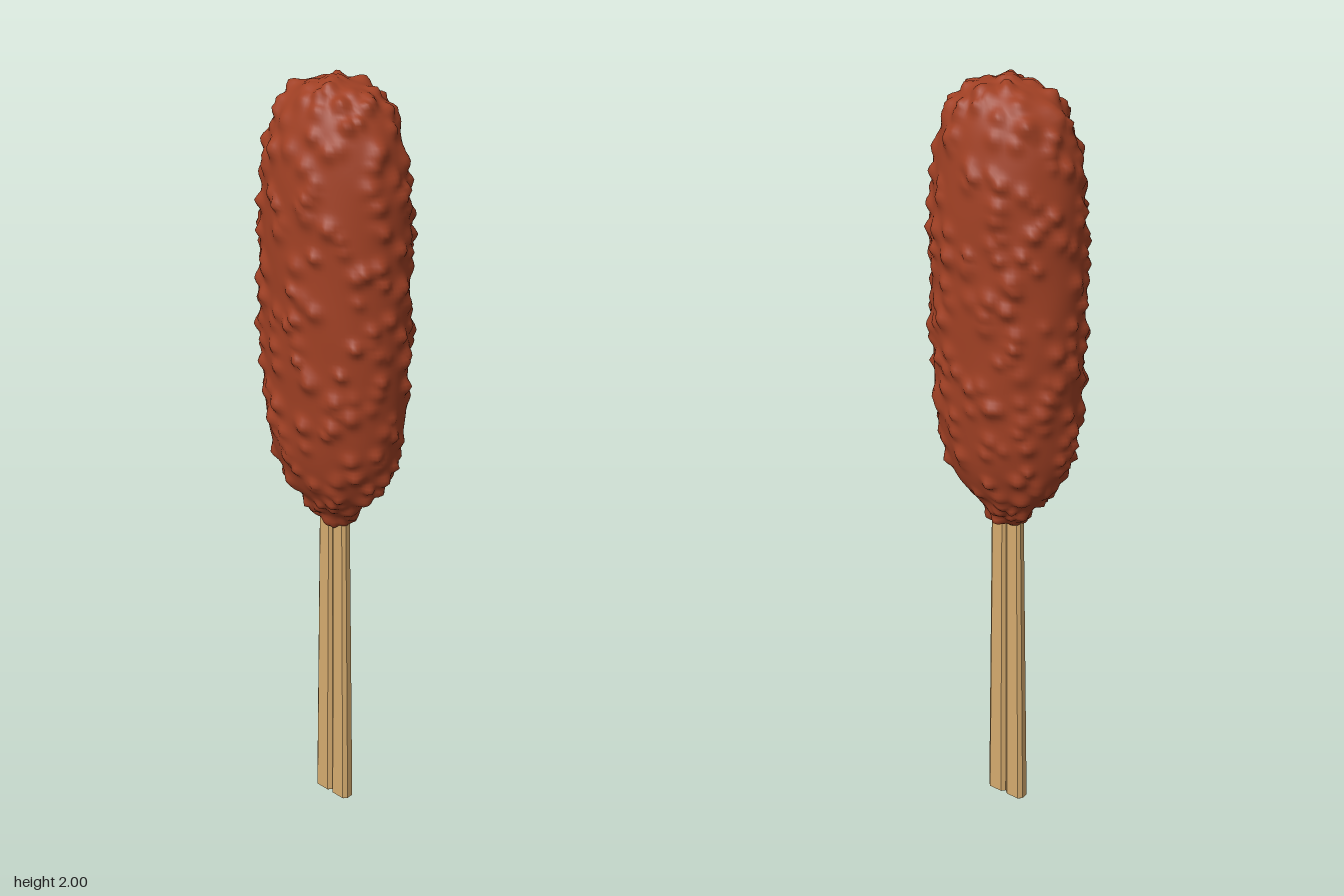
import * as THREE from 'three';
import { mergeVertices } from 'three/addons/utils/BufferGeometryUtils.js';

const crustMaterial = new THREE.MeshStandardMaterial({ color: 0xa04024 });
crustMaterial.name = 'fried crust brown';
const woodMaterial = new THREE.MeshStandardMaterial({ color: 0xd4aa6e });
woodMaterial.name = 'pale wood';

// Small seeded generator for the crumbs
function seeded(seed) {
  return () => (seed = (seed * 16807) % 2147483647) / 2147483647;
}

// Lumpy oval crust: a lathe flattened in z, then pushed out around scattered crumbs
function crustGeometry() {
  const profile = [
    [0, 0.872], [0.036, 0.875], [0.06, 0.905], [0.1, 0.95], [0.14, 1.0], [0.174, 1.09],
    [0.189, 1.2], [0.195, 1.35], [0.195, 1.5], [0.192, 1.64], [0.184, 1.76],
    [0.168, 1.85], [0.142, 1.92], [0.1, 1.966], [0.05, 1.985], [0, 1.988],
  ].map(([r, y]) => new THREE.Vector2(r, y));
  const points = new THREE.SplineCurve(profile).getSpacedPoints(130);
  points[0].x = points[130].x = 0;
  let geometry = new THREE.LatheGeometry(points, 112);
  geometry.scale(1, 1, 0.765);
  geometry.deleteAttribute('uv');
  geometry.deleteAttribute('normal');
  geometry = mergeVertices(geometry, 1e-5);
  geometry.computeVertexNormals();

  const position = geometry.attributes.position;
  const normal = geometry.attributes.normal;
  const random = seeded(4711);

  // Crumb centres, spread along the outline by a golden-angle spiral with jitter
  const crumbs = [];
  const count = 400;
  for (let i = 0; i < count; i++) {
    const t = Math.min(0.998, Math.max(0.02, (i + random()) / count));
    const p = points[Math.round(t * 130)];
    if (random() > 0.25 + p.x / 0.2) continue;
    const a = i * 2.39996 + (random() - 0.5) * 1.2;
    crumbs.push({
      x: p.x * Math.sin(a), y: p.y, z: 0.765 * p.x * Math.cos(a),
      size: 0.013 + random() * 0.009,
      height: 0.007 + random() * 0.012,
    });
  }

  for (let i = 0; i < position.count; i++) {
    const x = position.getX(i), y = position.getY(i), z = position.getZ(i);
    let push = 0.002 * Math.sin(23 * x + 17 * y) * Math.cos(29 * z - 11 * y);
    let lump = 0;
    for (const c of crumbs) {
      const d2 = (x - c.x) ** 2 + (y - c.y) ** 2 + (z - c.z) ** 2;
      if (d2 < 0.004) lump = Math.max(lump, c.height * Math.exp(-d2 / (c.size * c.size)));
    }
    push += lump;
    position.setXYZ(i,
      x + normal.getX(i) * push,
      Math.min(2, y + normal.getY(i) * push),
      z + normal.getZ(i) * push);
  }
  geometry.computeVertexNormals();
  return geometry;
}

// One tapering half of the split stick, with chamfered long edges
function stickHalfGeometry() {
  const w = 0.0505, d = 0.0165, c = 0.008, bevel = 0.003, length = 1.1;
  const shape = new THREE.Shape([
    [c, -d], [w - c, -d], [w, -d + c], [w, d - c],
    [w - c, d], [c, d], [0, d - c], [0, -d + c],
  ].map(([x, y]) => new THREE.Vector2(x + bevel + 0.0004, y)));
  const geometry = new THREE.ExtrudeGeometry(shape, {
    depth: length - 2 * bevel, bevelEnabled: true,
    bevelSize: bevel, bevelThickness: bevel, bevelSegments: 1,
  });
  geometry.translate(0, 0, bevel);
  geometry.rotateX(-Math.PI / 2);

  // Narrow towards the top
  const position = geometry.attributes.position;
  for (let i = 0; i < position.count; i++) {
    const y = position.getY(i);
    position.setX(i, position.getX(i) * (1 - 0.25 * y));
    position.setZ(i, position.getZ(i) * (1 - 0.27 * y));
  }
  geometry.computeVertexNormals();
  return geometry;
}

export function createModel() {
  const model = new THREE.Group();
  model.name = 'friedSnackOnStick';

  const crust = new THREE.Mesh(crustGeometry(), crustMaterial);
  crust.name = 'crust';
  model.add(crust);

  // Two halves side by side, leaving a groove down the middle
  const stick = new THREE.Group();
  stick.name = 'stick';
  const half = stickHalfGeometry();
  for (const [name, turn] of [['leftStickHalf', 0], ['rightStickHalf', Math.PI]]) {
    const mesh = new THREE.Mesh(half, woodMaterial);
    mesh.name = name;
    mesh.rotation.y = turn;
    stick.add(mesh);
  }
  model.add(stick);
  return model;
}
